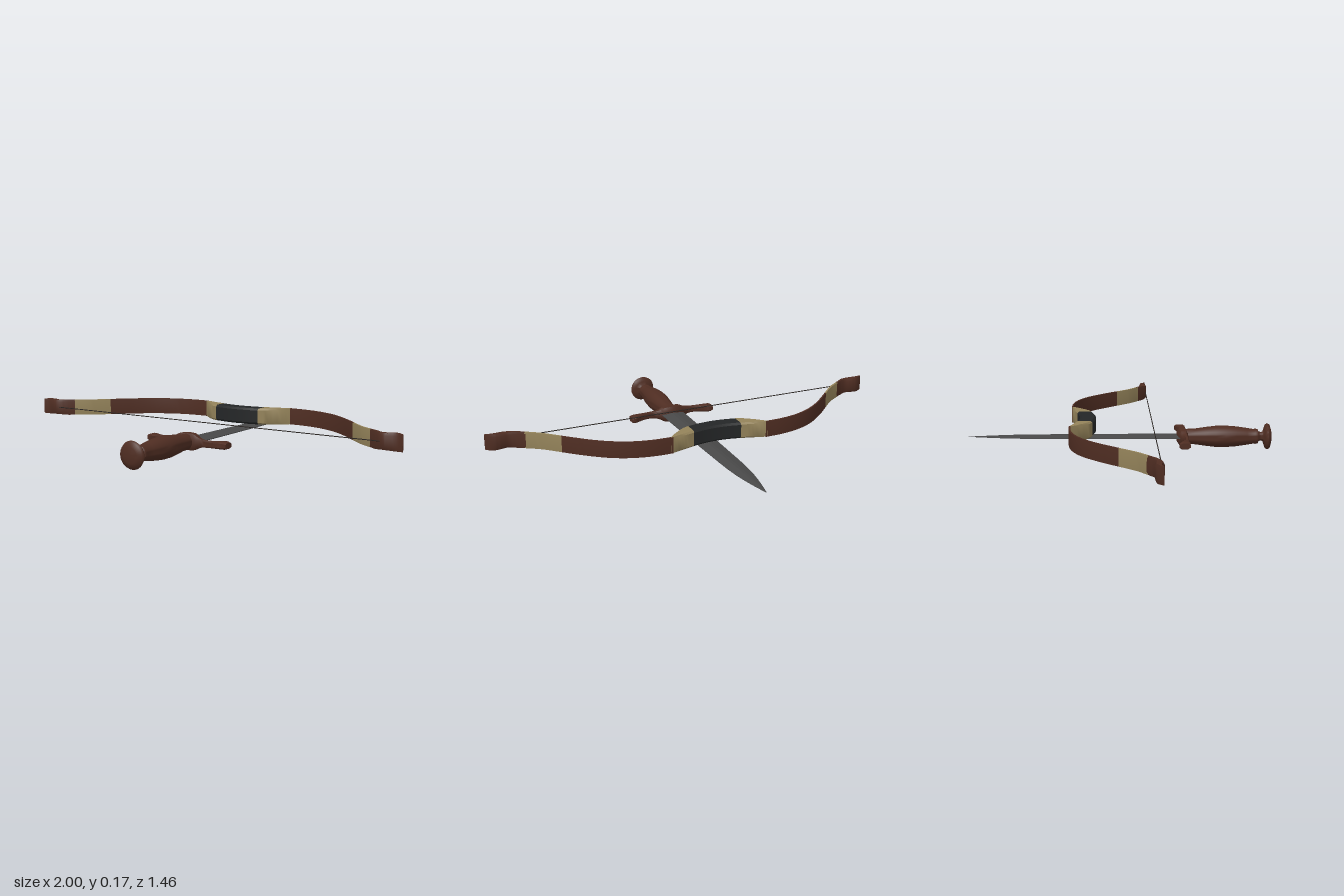
import * as THREE from 'three';
import { toCreasedNormals } from 'three/addons/utils/BufferGeometryUtils.js';

const BOW_Y = 0.131;

function material(name, color) {
  const m = new THREE.MeshStandardMaterial({ color });
  m.name = name;
  return m;
}

// Lofts chamfered box sections along x. Each section is [x, zBack, zFront, halfHeight].
// "steps" smooths between sections, "side" -1 mirrors the piece to -x.
function loft(sections, { steps = 1, side = 1, chamfer = 0.12, crease = 0.6 } = {}) {
  const curve = (pick) => new THREE.CatmullRomCurve3(sections.map(pick));
  const back = curve((s) => new THREE.Vector3(s[0], s[3], s[1]));
  const front = curve((s) => new THREE.Vector3(s[0], s[3], s[2]));
  const count = (sections.length - 1) * steps;
  const rows = [];
  for (let i = 0; i <= count; i++) {
    const a = back.getPoint(i / count), b = front.getPoint(i / count);
    const h = a.y, cy = h * 2 * chamfer, t = chamfer;
    const ring = [[t, h], [1 - t, h], [1, h - cy], [1, cy - h], [1 - t, -h], [t, -h], [0, cy - h], [0, h - cy]];
    rows.push(ring.map(([u, y]) => [side * THREE.MathUtils.lerp(a.x, b.x, u), y, THREE.MathUtils.lerp(a.z, b.z, u)]));
  }
  if (side < 0) rows.reverse();
  const index = [], n = 8;
  for (let i = 0; i < count; i++) {
    for (let j = 0; j < n; j++) {
      const p = i * n + j, q = i * n + (j + 1) % n;
      index.push(p, q, q + n, p, q + n, p + n);
    }
  }
  for (let j = 1; j < n - 1; j++) {
    index.push(0, j + 1, j);
    index.push(count * n, count * n + j, count * n + j + 1);
  }
  const g = new THREE.BufferGeometry();
  g.setAttribute('position', new THREE.Float32BufferAttribute(rows.flat(2), 3));
  g.setIndex(index);
  return toCreasedNormals(g, crease);
}

function add(parent, name, geometry, mat) {
  const mesh = new THREE.Mesh(geometry, mat);
  mesh.name = name;
  parent.add(mesh);
  return mesh;
}

export function createModel() {
  const wood = material('dark wood', 0x4f2d22);
  const horn = material('pale horn', 0x94835a);
  const leather = material('black leather', 0x242627);
  const steel = material('dark steel', 0x484848);
  const cord = material('string', 0x2a2522);

  const model = new THREE.Group();
  model.name = 'bowAndDagger';

  // Bow, lying flat with its belly towards +z
  const bow = new THREE.Group();
  bow.name = 'bow';
  bow.position.y = BOW_Y;
  model.add(bow);

  const H = 0.039;
  add(bow, 'grip', loft([
    [-0.12, -0.206, -0.13, H], [-0.06, -0.194, -0.118, H], [0, -0.19, -0.114, H],
    [0.06, -0.194, -0.118, H], [0.12, -0.206, -0.13, H],
  ], { steps: 3 }), leather);

  const riser = [[0.12, -0.206, -0.13, H], [0.15, -0.214, -0.143, H], [0.2, -0.226, -0.183, H], [0.245, -0.236, -0.229, H]];
  // Thin limbs: centre line points, given a constant small thickness
  const strip = (points) => points.map(([x, z, dx, dz]) => [x, z - dz, z + dz, H]);
  const limb = strip([
    [0.235, -0.232, 0, 0.004], [0.32, -0.229, 0, 0.004], [0.4, -0.214, 0, 0.004], [0.47, -0.187, 0, 0.005],
    [0.53, -0.152, 0, 0.005], [0.59, -0.105, 0, 0.005], [0.64, -0.059, 0, 0.006], [0.69, -0.01, 0, 0.006],
  ]);
  const outer = strip([
    [0.69, -0.01, 0, 0.006], [0.73, 0.03, 0, 0.006], [0.77, 0.066, 0, 0.006], [0.83, 0.107, 0, 0.007],
  ]);
  const tip = [
    [0.825, 0.096, 0.11, H], [0.87, 0.122, 0.143, H], [0.895, 0.128, 0.158, 0.036],
    [0.92, 0.125, 0.163, 0.036], [0.95, 0.124, 0.155, 0.038], [0.975, 0.133, 0.151, H], [1, 0.151, 0.158, 0.037],
  ];
  for (const side of [1, -1]) {
    const label = side > 0 ? 'left' : 'right';
    add(bow, label + 'Riser', loft(riser, { steps: 3, side, chamfer: 0.1 }), horn);
    add(bow, label + 'Limb', loft(limb, { steps: 3, side, chamfer: 0.03 }), wood);
    add(bow, label + 'LimbEnd', loft(outer, { steps: 3, side, chamfer: 0.03 }), horn);
    add(bow, label + 'Tip', loft(tip, { steps: 3, side, chamfer: 0.15 }), wood);
  }

  const string = add(bow, 'bowstring', new THREE.CylinderGeometry(0.0022, 0.0022, 1.84, 6), cord);
  string.rotation.z = Math.PI / 2;
  string.position.z = 0.157;

  // Dagger, lying under the bow with its point towards -z
  const dagger = new THREE.Group();
  dagger.name = 'dagger';
  dagger.position.set(0.018, 0.066, 0);
  dagger.rotation.y = -0.006;
  model.add(dagger);

  // Blade: flattened diamond sections, lofted along x then turned to point at -z
  const blade = [
    [-0.31, 0.057, 0.011], [-0.1, 0.055, 0.011], [0.1, 0.052, 0.01], [0.3, 0.048, 0.009], [0.42, 0.045, 0.008],
    [0.52, 0.038, 0.007], [0.6, 0.027, 0.005], [0.67, 0.014, 0.003], [0.728, 0.001, 0.001],
  ].map(([x, w, h]) => [x, -w, w, h]);
  add(dagger, 'blade', loft(blade, { steps: 2, chamfer: 0.42, crease: 0.15 }).rotateY(Math.PI / 2), steel);

  // Guard: straight towards the handle, wavy towards the blade
  const guardHalf = [[0.04, 0.281, 0.036], [0.065, 0.293, 0.024], [0.1, 0.308, 0.017], [0.15, 0.3, 0.016], [0.205, 0.274, 0.017], [0.218, 0.278, 0.013]];
  const guard = [
    ...guardHalf.slice().reverse().map(([x, z, h]) => [-x, z, 0.326, h]),
    [0, 0.274, 0.326, 0.039],
    ...guardHalf.map(([x, z, h]) => [x, z, 0.326, h]),
  ];
  add(dagger, 'guard', loft(guard, { steps: 3, chamfer: 0.22, crease: 0.9 }), wood);

  // Handle and pommel, turned around the z axis: [radius, z]
  const profile = [
    [0, 0.31], [0.036, 0.31], [0.038, 0.36], [0.045, 0.41], [0.051, 0.46], [0.052, 0.51], [0.048, 0.56],
    [0.041, 0.61], [0.035, 0.645], [0.037, 0.652], [0.035, 0.664], [0.025, 0.668], [0.02, 0.68], [0.024, 0.689],
    [0.042, 0.695], [0.058, 0.701], [0.063, 0.71], [0.058, 0.72], [0.035, 0.727], [0, 0.729],
  ].map(([r, z]) => new THREE.Vector2(r, z));
  const handle = toCreasedNormals(new THREE.LatheGeometry(profile, 32).rotateX(Math.PI / 2), 0.9);
  add(dagger, 'handleAndPommel', handle, wood);

  return model;
}
